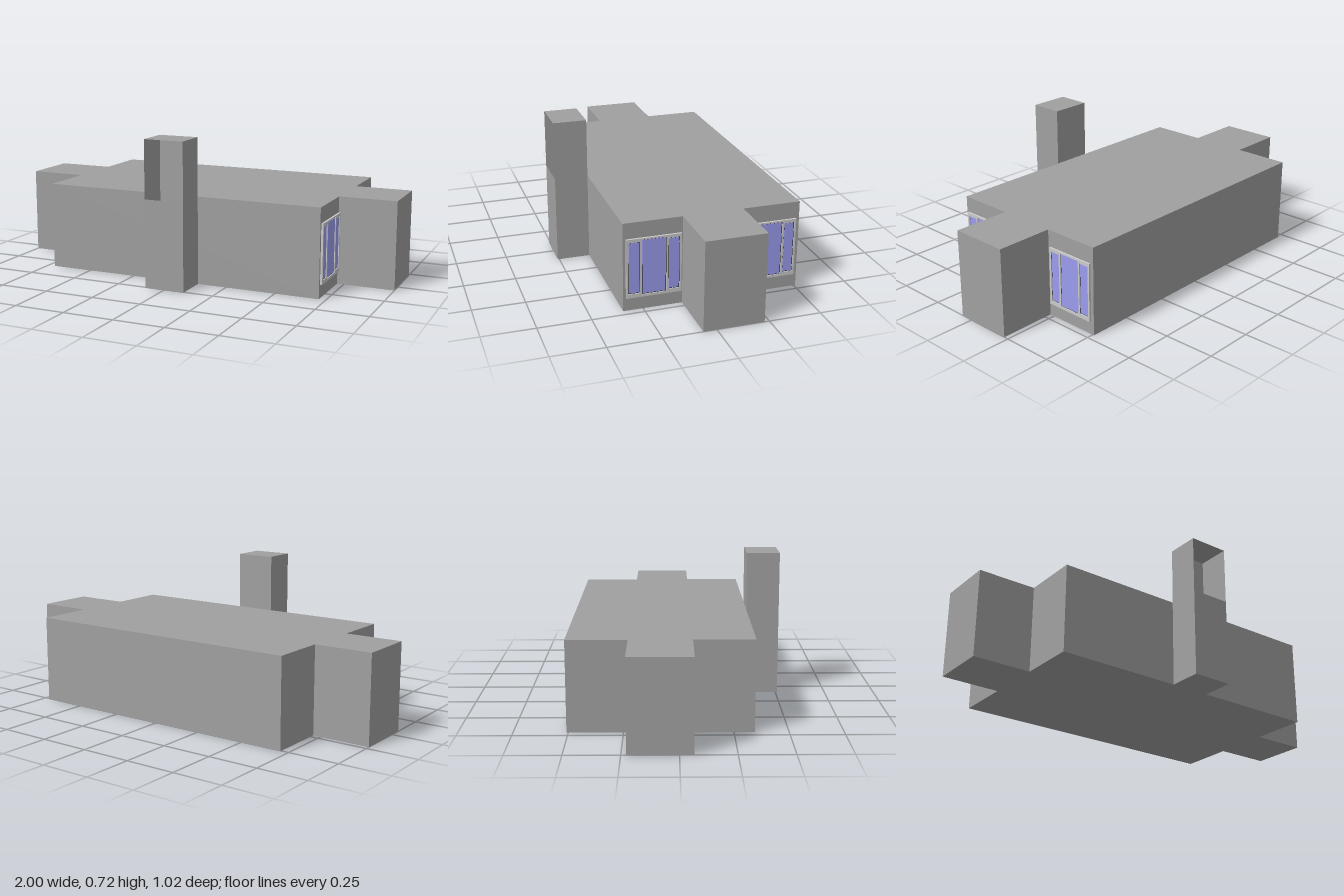
import * as THREE from 'three';

const WALL_H = 0.432, CHIMNEY_H = 0.718, WALL_X = 0.717, FRONT_Z = 0.345;

const wall = new THREE.MeshStandardMaterial({ color: 0xa0a0a0 });
const wallThin = new THREE.MeshStandardMaterial({ color: 0xa0a0a0, side: THREE.DoubleSide });
const frameGrey = new THREE.MeshStandardMaterial({ color: 0xcccccc });
const seal = new THREE.MeshStandardMaterial({ color: 0x080808 });
const glass = new THREE.MeshStandardMaterial({ color: 0x9c9cf0 });

function addMesh(parent, name, geometry, material) {
  const mesh = new THREE.Mesh(geometry, material);
  mesh.name = name;
  parent.add(mesh);
  return mesh;
}

// Main block with a narrower wing at each end, from one plan outline (x, z)
function houseGeometry() {
  const plan = [
    [-0.712, FRONT_Z], [WALL_X, FRONT_Z], [WALL_X, 0.063], [1, 0.063], [1, -0.227], [WALL_X, -0.227],
    [WALL_X, -0.508], [-0.712, -0.508], [-0.712, -0.227], [-1, -0.227], [-1, 0.063], [-0.712, 0.063],
  ];
  const shape = new THREE.Shape(plan.map(([x, z]) => new THREE.Vector2(x, -z)));
  return new THREE.ExtrudeGeometry(shape, { depth: WALL_H, bevelEnabled: false }).rotateX(-Math.PI / 2);
}

// Hollow chimney whose front is open above the roof line
function createChimney() {
  const chimney = new THREE.Group();
  chimney.name = 'chimney';
  chimney.position.x = 0.003;
  const w = 0.2, backZ = FRONT_Z, frontZ = 0.508, d = frontZ - backZ, midZ = (frontZ + backZ) / 2;

  for (const side of [-1, 1]) {
    addMesh(chimney, side > 0 ? 'chimneyLeftWall' : 'chimneyRightWall',
      new THREE.PlaneGeometry(d, CHIMNEY_H).rotateY(side * Math.PI / 2), wallThin)
      .position.set(side * w / 2, CHIMNEY_H / 2, midZ);
  }
  addMesh(chimney, 'chimneyFrontWall', new THREE.PlaneGeometry(w, WALL_H), wallThin)
    .position.set(0, WALL_H / 2, frontZ);
  addMesh(chimney, 'chimneyBackWall', new THREE.PlaneGeometry(w, CHIMNEY_H - WALL_H).rotateY(Math.PI), wallThin)
    .position.set(0, (CHIMNEY_H + WALL_H) / 2, backZ);
  addMesh(chimney, 'chimneyCap', new THREE.PlaneGeometry(w, d).rotateX(-Math.PI / 2), wallThin)
    .position.set(0, CHIMNEY_H, midZ);
  addMesh(chimney, 'chimneyBase', new THREE.PlaneGeometry(w, d).rotateX(Math.PI / 2), wallThin)
    .position.set(0, 0, midZ);
  return chimney;
}

function rectangle(path, x0, x1, y0, y1) {
  return path.moveTo(x0, y0).lineTo(x1, y0).lineTo(x1, y1).lineTo(x0, y1).closePath();
}

// Three-pane window: a frame with openings, each holding glass edged by a dark seal
function createWindow(name, centerZ, width, bottom, top) {
  const win = new THREE.Group();
  win.name = name;
  const frame = rectangle(new THREE.Shape(), -width / 2, width / 2, bottom, top);
  // pane edges as fractions of the width, and inset from frame top and bottom
  const panes = [[-0.46, -0.26, 0.016], [-0.22, 0.225, 0.008], [0.26, 0.465, 0.016]];
  const sealWidth = 0.003;
  for (const [a, b, inset] of panes) {
    const x0 = a * width, x1 = b * width, y0 = bottom + inset + 0.004, y1 = top - inset;
    const w = x1 - x0, h = y1 - y0, x = (x0 + x1) / 2, y = (y0 + y1) / 2;
    frame.holes.push(rectangle(new THREE.Path(), x0, x1, y0, y1));
    addMesh(win, 'paneSeal', new THREE.BoxGeometry(w, h, 0.005), seal).position.set(x, y, 0.0025);
    addMesh(win, 'glassPane', new THREE.BoxGeometry(w - 2 * sealWidth, h - 2 * sealWidth, 0.007), glass)
      .position.set(x, y, 0.0035);
  }
  addMesh(win, 'windowFrame', new THREE.ExtrudeGeometry(frame, { depth: 0.01, bevelEnabled: false }), frameGrey);
  win.rotation.y = Math.PI / 2;
  win.position.set(WALL_X, 0, centerZ);
  return win;
}

export function createModel() {
  const model = new THREE.Group();
  model.name = 'house';
  addMesh(model, 'walls', houseGeometry(), wall);
  model.add(
    createChimney(),
    createWindow('frontWindow', 0.201, 0.262, 0.065, 0.355),
    createWindow('rearWindow', -0.366, 0.25, 0.065, 0.351),
  );
  return model;
}
